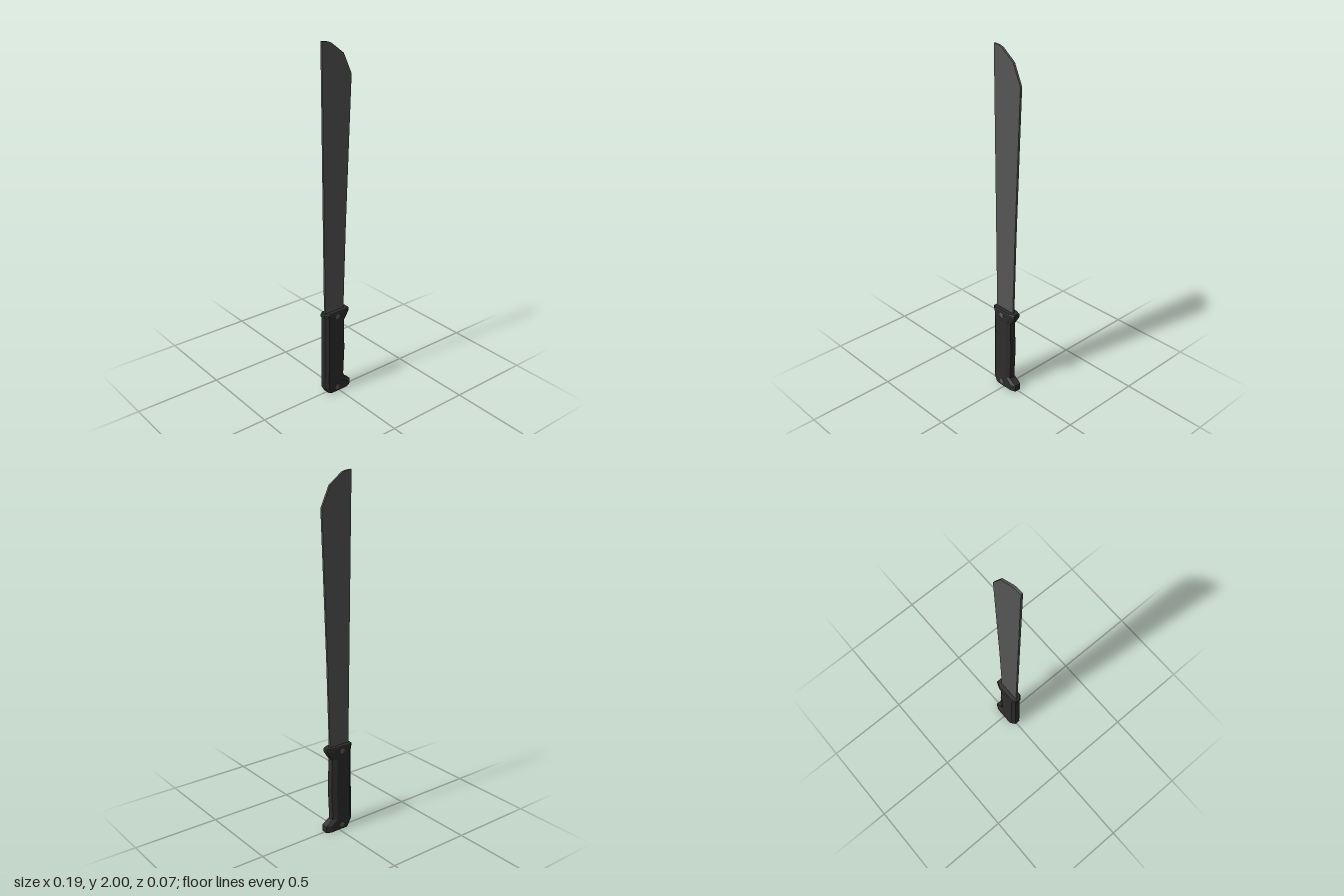
import * as THREE from 'three';

const material = (name, color) => {
  const m = new THREE.MeshStandardMaterial({ color });
  m.name = name;
  return m;
};

// Eight-sided rings stacked along y: [y, back x, front x, half depth, back chamfer, front chamfer]
function loftHandle(rings) {
  const loops = rings.map(([y, b, f, d, cb, cf]) => [
    [b, y, d * 0.5], [b + cb, y, d], [f - cf, y, d], [f, y, d * 0.6],
    [f, y, -d * 0.6], [f - cf, y, -d], [b + cb, y, -d], [b, y, -d * 0.5],
  ]);
  const pos = [];
  const tri = (a, b, c) => pos.push(...a, ...b, ...c);
  for (let r = 0; r < loops.length - 1; r++) {
    const lo = loops[r], hi = loops[r + 1];
    for (let i = 0; i < 8; i++) {
      const j = (i + 1) % 8;
      tri(lo[i], lo[j], hi[j]);
      tri(lo[i], hi[j], hi[i]);
    }
  }
  // End caps
  const bottom = loops[0], top = loops[loops.length - 1];
  for (let i = 1; i < 7; i++) {
    tri(bottom[0], bottom[i + 1], bottom[i]);
    tri(top[0], top[i], top[i + 1]);
  }
  const g = new THREE.BufferGeometry();
  g.setAttribute('position', new THREE.Float32BufferAttribute(pos, 3));
  g.computeVertexNormals();
  return g;
}

export function createModel() {
  const steel = material('blade steel', 0x555555);
  const grip = material('black grip', 0x2d2d2d);
  const rivetMetal = material('rivet metal', 0x5c5c5c);

  const group = new THREE.Group();
  group.name = 'machete';
  const add = (name, geometry, mat) => {
    const mesh = new THREE.Mesh(geometry, mat);
    mesh.name = name;
    group.add(mesh);
    return mesh;
  };

  // Flat blade that widens towards a clipped tip
  const outline = [
    [-0.08, 0.45], [0.048, 0.45], [0.05, 0.6], [0.062, 1.0], [0.095, 1.82],
    [0.044, 1.93], [-0.034, 1.988], [-0.055, 1.996], [-0.092, 2.0],
  ];
  const thickness = 0.012;
  const bladeGeometry = new THREE.ExtrudeGeometry(
    new THREE.Shape(outline.map(([x, y]) => new THREE.Vector2(x, y))),
    { depth: thickness, bevelEnabled: false },
  );
  bladeGeometry.translate(0, 0, -thickness / 2);
  add('blade', bladeGeometry, steel);

  // Grip with a flared collar above and a hooked pommel below
  add('handle', loftHandle([
    [0.0, -0.068, 0.083, 0.029, 0.016, 0.03],
    [0.008, -0.076, 0.085, 0.032, 0.018, 0.03],
    [0.04, -0.094, 0.085, 0.032, 0.02, 0.03],
    [0.07, -0.094, 0.04, 0.03, 0.02, 0.026],
    [0.1, -0.094, 0.038, 0.03, 0.02, 0.026],
    [0.26, -0.092, 0.046, 0.03, 0.02, 0.028],
    [0.4, -0.09, 0.041, 0.03, 0.02, 0.026],
    [0.44, -0.09, 0.042, 0.03, 0.02, 0.026],
    [0.485, -0.09, 0.07, 0.032, 0.018, 0.03],
    [0.495, -0.096, 0.075, 0.032, 0.021, 0.03],
    [0.508, -0.096, 0.075, 0.032, 0.021, 0.03],
    [0.513, -0.09, 0.071, 0.029, 0.02, 0.03],
  ]), grip);

  // Rivets running through both ends of the grip
  for (const [name, y] of [['lowerRivet', 0.03], ['upperRivet', 0.487]]) {
    const rivet = add(name, new THREE.CylinderGeometry(0.016, 0.016, 0.068, 8).toNonIndexed(), rivetMetal);
    rivet.geometry.computeVertexNormals();
    rivet.rotation.x = Math.PI / 2;
    rivet.position.set(-0.016, y, 0);
  }
  return group;
}
